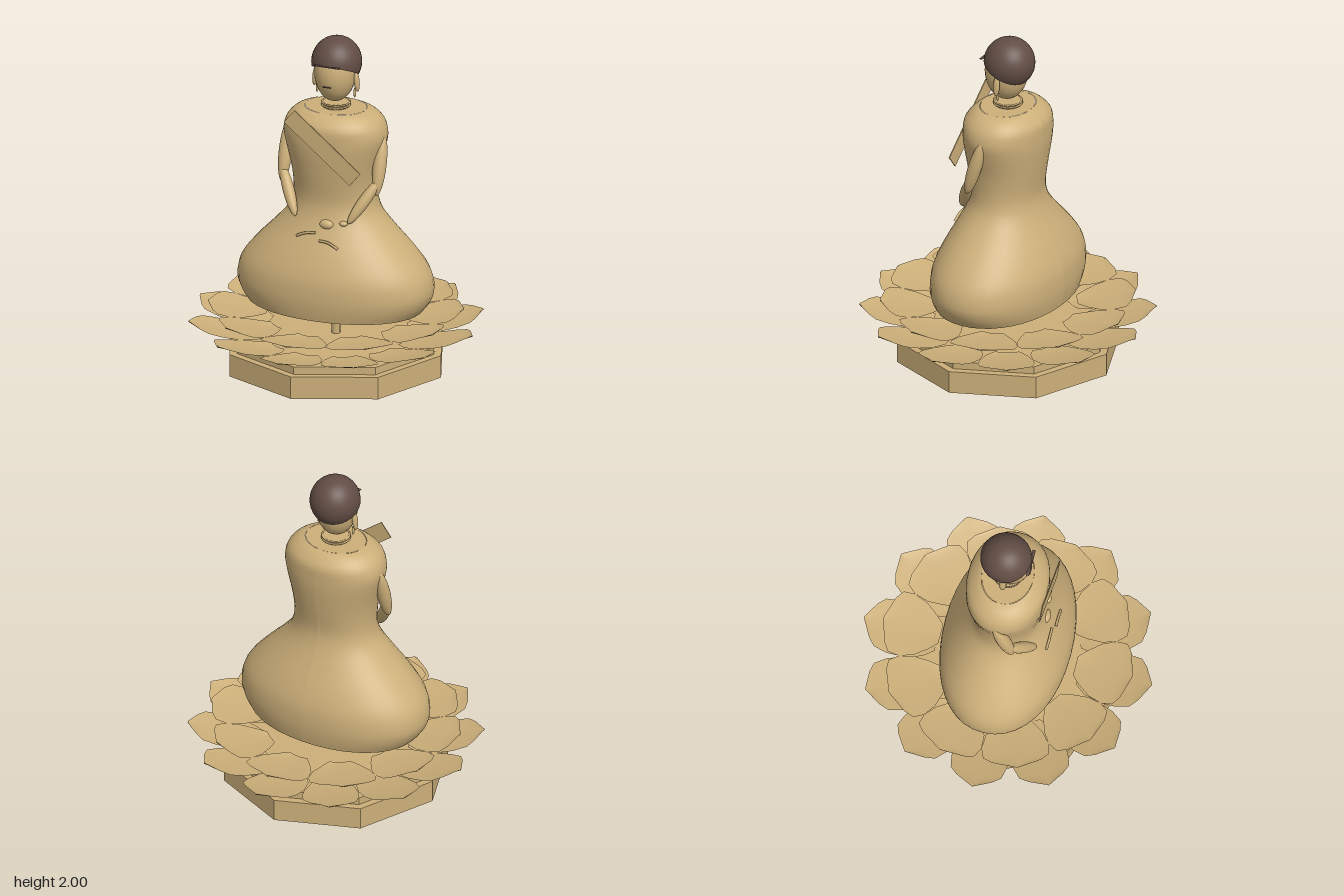
import * as THREE from 'three';

const tan = new THREE.MeshStandardMaterial({ color: 0xcdb07a });
tan.name = 'warm sandstone';
const tanThin = new THREE.MeshStandardMaterial({ color: 0xcdb07a, side: THREE.DoubleSide });
tanThin.name = 'warm sandstone sheet';
const brown = new THREE.MeshStandardMaterial({ color: 0x624d45, side: THREE.DoubleSide });
brown.name = 'dark brown hair';

export function createModel() {
  const root = new THREE.Group();
  root.name = 'seatedFigureOnLotus';

  const add = (name, geo, mat = tan, x = 0, y = 0, z = 0, parent = root) => {
    const m = new THREE.Mesh(geo, mat);
    m.name = name;
    m.position.set(x, y, z);
    parent.add(m);
    return m;
  };
  const ellipsoid = (name, x, y, z, rx, ry, rz, mat = tan) => {
    const m = add(name, new THREE.SphereGeometry(1, 24, 16), mat, x, y, z);
    m.scale.set(rx, ry, rz);
    return m;
  };
  // stretched ellipsoid between two points
  const limb = (name, a, b, r) => {
    const p = new THREE.Vector3(...a), q = new THREE.Vector3(...b);
    const d = q.clone().sub(p), c = p.add(q).multiplyScalar(0.5);
    const m = ellipsoid(name, c.x, c.y, c.z, r, d.length() / 2, r);
    m.quaternion.setFromUnitVectors(new THREE.Vector3(0, 1, 0), d.normalize());
  };

  // octagonal plinth and stem
  const octagon = (r, h) => new THREE.CylinderGeometry(r, r, h, 8).toNonIndexed();
  for (const [name, r, h, y] of [['plinth', 0.66, 0.135, 0.0675], ['plinthStep', 0.615, 0.045, 0.1575]]) {
    const g = octagon(r, h);
    g.computeVertexNormals();
    add(name, g, tan, 0, y);
  }
  add('stem', new THREE.CylinderGeometry(0.025, 0.025, 0.2, 12), tan, 0, 0.28);

  // lotus petals: rows of [radius, half width, height]
  const petalGeometry = (rows) => {
    const pos = [], idx = [];
    rows.forEach(([r, w, y], i) => {
      for (const s of [-1, -0.5, 0, 0.5, 1]) pos.push(s * w, y + 0.008 * s * s, r);
      if (!i) return;
      for (let k = 0; k < 4; k++) {
        const a = (i - 1) * 5 + k, b = a + 5;
        idx.push(a, b, a + 1, a + 1, b, b + 1);
      }
    });
    const g = new THREE.BufferGeometry();
    g.setAttribute('position', new THREE.Float32BufferAttribute(pos, 3));
    g.setIndex(idx);
    g.computeVertexNormals();
    return g;
  };
  const petalRing = (name, count, rows) => {
    const ring = new THREE.Group(), g = petalGeometry(rows);
    ring.name = name;
    for (let i = 0; i < count; i++)
      add('petal', g, tanThin, 0, 0, 0, ring).rotation.y = i / count * Math.PI * 2;
    root.add(ring);
  };
  petalRing('lowerPetals', 12, [[0.42, 0.07, 0.185], [0.48, 0.12, 0.19], [0.58, 0.155, 0.208],
    [0.68, 0.165, 0.232], [0.76, 0.15, 0.253], [0.8, 0.105, 0.264], [0.855, 0.004, 0.28]]);
  petalRing('upperPetals', 10, [[0.4, 0.06, 0.295], [0.45, 0.11, 0.298], [0.52, 0.165, 0.306],
    [0.6, 0.195, 0.318], [0.665, 0.19, 0.33], [0.7, 0.14, 0.337], [0.74, 0.004, 0.345]]);

  // robed body: oval rings of (half width, height, half depth)
  const sections = [[0.53, 0.375, 0.36], [0.57, 0.43, 0.37], [0.593, 0.5, 0.376], [0.57, 0.61, 0.368],
    [0.475, 0.735, 0.322], [0.365, 0.85, 0.265], [0.275, 0.96, 0.217], [0.25, 1.05, 0.2],
    [0.258, 1.2, 0.218], [0.295, 1.35, 0.235], [0.31, 1.43, 0.236], [0.29, 1.505, 0.23],
    [0.235, 1.56, 0.18], [0.185, 1.577, 0.15]];
  const rings = new THREE.CatmullRomCurve3(sections.map((s) => new THREE.Vector3(...s))).getPoints(39);
  const robe = new THREE.LatheGeometry(rings.map((p) => new THREE.Vector2(p.x, p.y)), 40, Math.PI);
  const rp = robe.attributes.position;
  for (let i = 0; i < rp.count; i++) {
    const r = rings[i % rings.length];
    const bulge = (v) => Math.sign(v) * Math.pow(Math.abs(v), 0.95);
    rp.setX(i, bulge(rp.getX(i) / r.x) * r.x);
    rp.setZ(i, bulge(rp.getZ(i) / r.x) * r.z);
  }
  robe.computeVertexNormals();
  add('robedBody', robe);
  const under = add('robeUnderside', new THREE.CircleGeometry(1, 40), tan, 0, 0.375);
  under.rotation.x = Math.PI / 2;
  under.scale.set(0.53, 0.36, 1);
  const collar = add('collar', new THREE.CircleGeometry(1, 40), tan, 0, 1.577);
  collar.rotation.x = -Math.PI / 2;
  collar.scale.set(0.185, 0.15, 1);

  // sash across the chest
  const sash = add('sash', new THREE.BoxGeometry(0.53, 0.105, 0.006), tan, 0.0175, 1.402, 0.242);
  sash.rotation.z = -Math.atan2(0.33, 0.41);

  // arms, ears
  for (const s of [1, -1]) {
    limb('upperArm', [s * 0.295, 1.45, -0.005], [s * 0.295, 1.1, 0.1], 0.04);
    limb('forearm', [s * 0.31, 1.2, 0.07], [s * 0.165, 0.945, 0.21], 0.034);
    ellipsoid('ear', s * 0.13, 1.745, 0, 0.016, 0.062, 0.02).rotation.z = s * 0.1;
    ellipsoid('earLobe', s * 0.118, 1.675, 0, 0.008, 0.03, 0.01);
  }

  // hands and fingers in the lap
  ellipsoid('cuppedHand', 0.035, 0.925, 0.215, 0.045, 0.03, 0.03);
  ellipsoid('thumb', 0.135, 0.94, 0.205, 0.025, 0.015, 0.02);
  const finger = (pts) => add('finger', new THREE.TubeGeometry(
    new THREE.CatmullRomCurve3(pts.map((p) => new THREE.Vector3(...p))), 12, 0.008, 6));
  finger([[-0.135, 0.848, 0.262], [-0.08, 0.873, 0.265], [-0.012, 0.883, 0.265]]);
  finger([[0.015, 0.843, 0.28], [0.07, 0.838, 0.28], [0.132, 0.808, 0.28]]);

  // neck folds
  add('neck', new THREE.CylinderGeometry(0.075, 0.075, 0.03, 24), tan, 0, 1.59);
  for (const y of [1.588, 1.603])
    add('neckFold', new THREE.TorusGeometry(0.08, 0.006, 6, 32), tan, 0, y).rotation.x = Math.PI / 2;

  // head, hair cap tilted back, brow and mouth
  ellipsoid('head', 0, 1.79, 0.01, 0.12, 0.175, 0.128);
  const hair = add('hairCap', new THREE.SphereGeometry(1, 32, 20, 0, Math.PI * 2, 0, 1.92), brown, 0, 1.848, -0.01);
  hair.scale.set(0.146, 0.152, 0.15);
  hair.rotation.x = -0.45;
  add('brow', new THREE.BoxGeometry(0.16, 0.004, 0.018), brown, 0, 1.862, 0.136);
  add('mouth', new THREE.BoxGeometry(0.05, 0.005, 0.015), brown, 0, 1.735, 0.131);

  return root;
}
